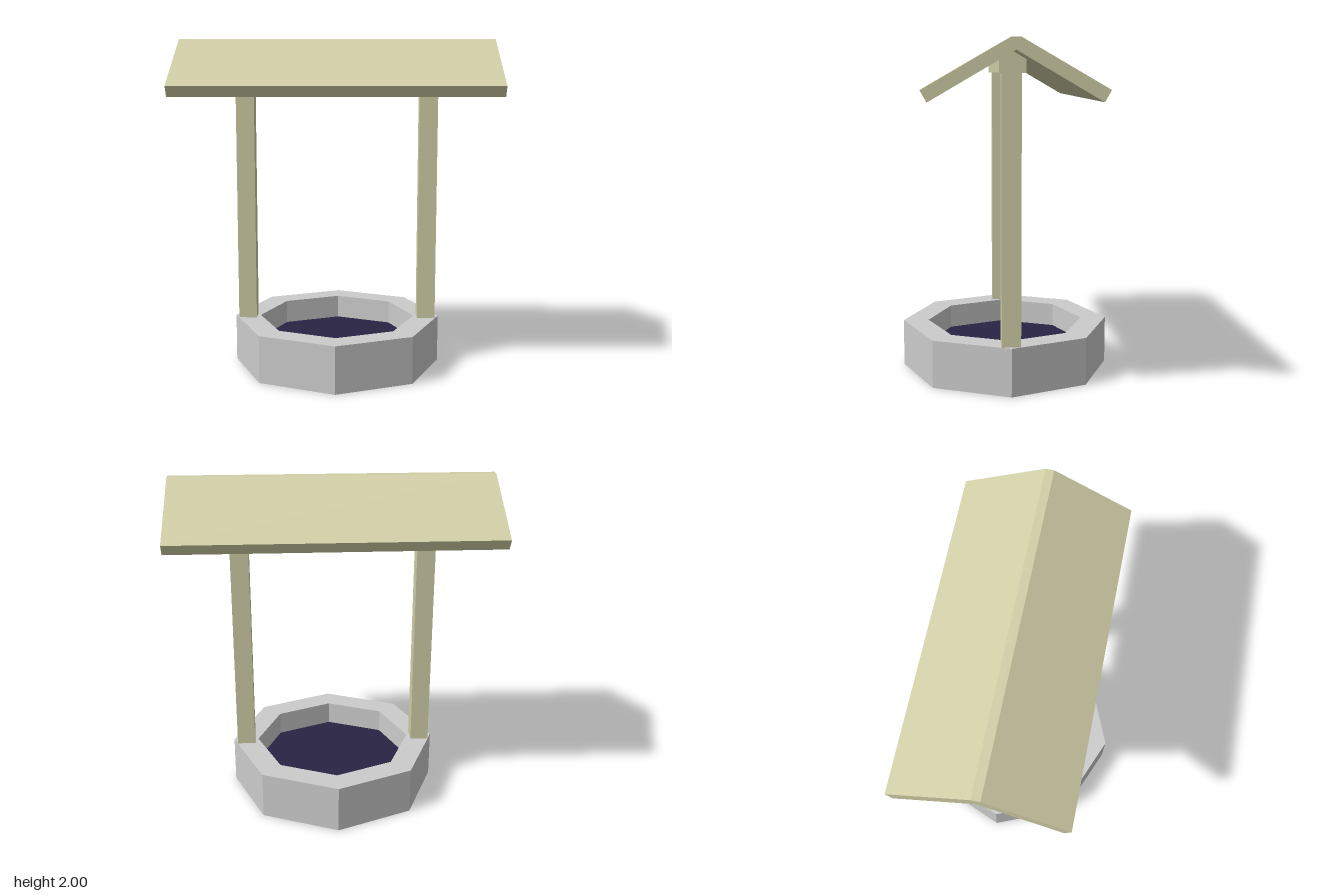
import * as THREE from 'three';

const stone = new THREE.MeshStandardMaterial({ color: 0xcccccc, flatShading: true });
const wood = new THREE.MeshStandardMaterial({ color: 0xd1cfa7, flatShading: true });
const water = new THREE.MeshStandardMaterial({ color: 0x292343, side: THREE.DoubleSide });

export function createModel() {
  const model = new THREE.Group();
  const add = (name, geometry, material, x = 0, y = 0, z = 0) => {
    const mesh = new THREE.Mesh(geometry, material);
    mesh.name = name;
    mesh.position.set(x, y, z);
    model.add(mesh);
    return mesh;
  };

  // Octagonal stone wall, its underside sloping up to the water level
  const wall = [[0.48, 0.14], [0.635, 0], [0.635, 0.285], [0.48, 0.285], [0.48, 0.14]]
    .map(([r, y]) => new THREE.Vector2(r, y));
  add('stoneWall', new THREE.LatheGeometry(wall, 8), stone);

  // Water surface closing the wall halfway up
  add('water', new THREE.CircleGeometry(0.48, 8).rotateX(-Math.PI / 2), water, 0, 0.14);

  // Two posts standing on the wall
  for (const [name, side] of [['leftPost', 1], ['rightPost', -1]]) {
    add(name, new THREE.BoxGeometry(0.11, 1.54, 0.11), wood, side * 0.555, 1.05);
  }

  // Ridge beam across the posts, its top corners sunk in the roof
  add('ridgeBeam', new THREE.BoxGeometry(1.36, 0.12, 0.145), wood, 0, 1.88);

  // Gabled roof: a bent plank section extruded along x
  const half = [[0.025, 2], [0.487, 1.734], [0.452, 1.672]];
  const section = [
    ...half,
    [0, 1.935],
    ...half.map(([z, y]) => [-z, y]).reverse(),
  ].map(([z, y]) => new THREE.Vector2(z, y));
  const roof = new THREE.ExtrudeGeometry(new THREE.Shape(section), { depth: 1.9, bevelEnabled: false });
  roof.translate(0, 0, -0.95).rotateY(Math.PI / 2);
  add('roof', roof, wood);

  return model;
}
